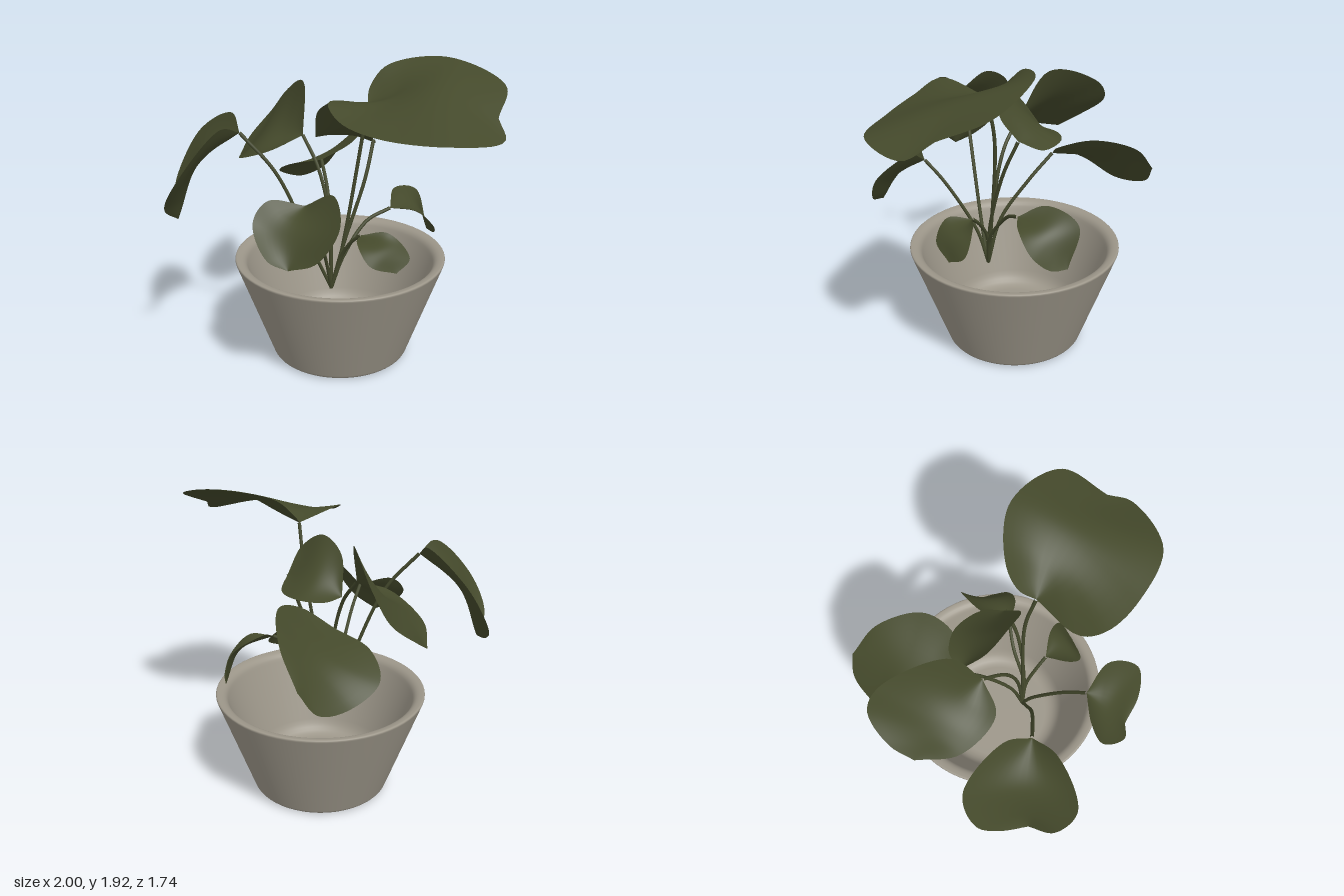
import * as THREE from 'three';

const leafMat = new THREE.MeshStandardMaterial({ color: 0x44492b, side: THREE.DoubleSide });
leafMat.name = 'leafGreen';
const stemMat = new THREE.MeshStandardMaterial({ color: 0x42472b });
stemMat.name = 'stemGreen';
const potMat = new THREE.MeshStandardMaterial({ color: 0x9c9689 });
potMat.name = 'potClay';

const at = (x, y, z) => new THREE.Vector3(x, y, z);
const crown = at(-0.015, 0.5, 0.17);

// Leaf blade: a smooth sheet stretched between two edge curves and a midrib
function leafGeometry(base, tip, fold, edgeA, edgeB) {
  const [left, rib, right] = [edgeA, [fold], edgeB].map(
    (points) => new THREE.CatmullRomCurve3([base, ...points, tip]),
  );
  const rows = 40, cols = 14;
  const g = new THREE.PlaneGeometry(1, 1, cols, rows);
  const pos = g.attributes.position;
  for (let i = 0; i <= rows; i++) {
    const u = i / rows;
    const l = left.getPointAt(u), r = right.getPointAt(u), m = rib.getPointAt(u);
    const slope = r.clone().sub(l).multiplyScalar(0.5);
    const bend = r.clone().add(l).multiplyScalar(0.5).sub(m);
    for (let j = 0; j <= cols; j++) {
      const v = (2 * j) / cols - 1;
      const p = m.clone().addScaledVector(slope, v).addScaledVector(bend, v * v);
      pos.setXYZ(i * (cols + 1) + j, p.x, p.y, p.z);
    }
  }
  g.computeVertexNormals();
  return g;
}

// One leaf with its stem, which rises from the crown along "bow" to the base of the blade
function makeLeaf(name, { base, tip, fold, bow, edgeA, edgeB }) {
  const leaf = new THREE.Group();
  leaf.name = name;
  const blade = new THREE.Mesh(leafGeometry(base, tip, fold, edgeA, edgeB), leafMat);
  blade.name = 'blade';
  const path = new THREE.CatmullRomCurve3([crown, ...bow, base]);
  const stem = new THREE.Mesh(new THREE.TubeGeometry(path, 32, 0.011, 8), stemMat);
  stem.name = 'stem';
  leaf.add(blade, stem);
  return leaf;
}

// Hollow tapered pot with a rounded foot and rim
function makePot() {
  const outline = new THREE.Path();
  outline.moveTo(0, 0);
  outline.lineTo(0.39, 0);
  outline.quadraticCurveTo(0.43, 0, 0.44, 0.03);
  outline.lineTo(0.661, 0.65);
  outline.quadraticCurveTo(0.667, 0.667, 0.65, 0.667);
  outline.quadraticCurveTo(0.595, 0.665, 0.583, 0.61);
  outline.lineTo(0.44, 0.2);
  outline.quadraticCurveTo(0.41, 0.105, 0.33, 0.105);
  outline.lineTo(0, 0.105);
  const pot = new THREE.Mesh(new THREE.LatheGeometry(outline.getPoints(6), 72), potMat);
  pot.name = 'pot';
  return pot;
}

export function createModel() {
  const model = new THREE.Group();
  model.name = 'pottedPlant';
  model.add(makePot());

  model.add(makeLeaf('largeTopLeaf', {
    base: at(0.2, 1.69, 0.15), tip: at(0.95, 1.7, 0.35), fold: at(0.6, 1.81, 0.26),
    bow: [at(0.04, 0.72, 0.15), at(0.15, 1.4, 0.11)],
    edgeA: [at(0.19, 1.76, 0.05), at(0.27, 1.87, -0.05), at(0.6, 1.92, -0.13), at(0.96, 1.82, 0.07)],
    edgeB: [at(0.04, 1.75, 0.43), at(0.14, 1.68, 0.57), at(0.38, 1.64, 0.69), at(0.75, 1.64, 0.74),
      at(1.0, 1.62, 0.5)],
  }));

  model.add(makeLeaf('rightSideLeaf', {
    base: at(-0.51, 1.52, 0.35), tip: at(-0.88, 0.99, 0.46), fold: at(-0.75, 1.34, 0.39),
    bow: [at(-0.09, 0.7, 0.21), at(-0.31, 1.27, 0.3)],
    edgeA: [at(-0.6, 1.6, 0.22), at(-0.88, 1.43, 0.08), at(-1.0, 1.15, 0.19), at(-0.96, 1.04, 0.32)],
    edgeB: [at(-0.57, 1.57, 0.5), at(-0.77, 1.3, 0.7), at(-0.89, 1.1, 0.61)],
  }));

  model.add(makeLeaf('frontLeaf', {
    base: at(-0.06, 1.19, 0.56), tip: at(-0.08, 0.915, 0.84), fold: at(-0.065, 1.1, 0.72),
    bow: [at(-0.03, 0.72, 0.24), at(-0.045, 1.05, 0.44)],
    edgeA: [at(-0.25, 1.23, 0.64), at(-0.31, 1.13, 0.73), at(-0.19, 0.97, 0.86)],
    edgeB: [at(0.12, 1.29, 0.63), at(0.2, 1.17, 0.81), at(0.09, 0.99, 0.87)],
  }));

  model.add(makeLeaf('backLeaf', {
    base: at(-0.18, 1.2, -0.23), tip: at(-0.22, 1.09, -0.87), fold: at(-0.21, 1.17, -0.53),
    bow: [at(-0.04, 0.8, 0.09), at(-0.1, 1.04, -0.08)],
    edgeA: [at(0, 1.31, -0.27), at(0.06, 1.38, -0.47), at(-0.06, 1.28, -0.74)],
    edgeB: [at(-0.42, 1.13, -0.29), at(-0.54, 1.02, -0.46), at(-0.44, 0.93, -0.66), at(-0.32, 0.96, -0.84)],
  }));

  model.add(makeLeaf('backRightLeaf', {
    base: at(-0.24, 1.42, -0.02), tip: at(-0.75, 1.18, -0.27), fold: at(-0.5, 1.39, -0.17),
    bow: [at(-0.035, 0.95, 0.13), at(-0.12, 1.25, 0.07)],
    edgeA: [at(-0.28, 1.7, -0.2), at(-0.5, 1.57, -0.52), at(-0.62, 1.42, -0.57), at(-0.73, 1.27, -0.42)],
    edgeB: [at(-0.4, 1.35, 0.11), at(-0.65, 1.24, -0.02)],
  }));

  model.add(makeLeaf('centreLeaf', {
    base: at(0.2, 1.42, -0.03), tip: at(-0.2, 1.37, -0.16), fold: at(-0.01, 1.47, -0.11),
    bow: [at(0.06, 0.8, 0.15), at(0.17, 1.2, 0.06)],
    edgeA: [at(0.16, 1.56, 0.08), at(0.01, 1.66, 0.06), at(-0.14, 1.58, -0.02)],
    edgeB: [at(0.18, 1.36, -0.17), at(0.02, 1.36, -0.28), at(-0.13, 1.36, -0.26)],
  }));

  model.add(makeLeaf('smallBackLeaf', {
    base: at(0.31, 0.99, -0.03), tip: at(0.5, 0.75, -0.33), fold: at(0.45, 0.95, -0.21),
    bow: [at(0.06, 0.72, 0.15), at(0.18, 0.92, 0.04)],
    edgeA: [at(0.3, 1.06, -0.2), at(0.42, 0.99, -0.39)],
    edgeB: [at(0.47, 0.98, -0.04), at(0.57, 0.86, -0.12), at(0.56, 0.77, -0.23)],
  }));

  model.add(makeLeaf('smallFrontLeaf', {
    base: at(0.19, 0.91, 0.25), tip: at(0.43, 0.74, 0.37), fold: at(0.34, 0.87, 0.35),
    bow: [at(0.05, 0.72, 0.17), at(0.12, 0.84, 0.21)],
    edgeA: [at(0.2, 0.92, 0.4), at(0.29, 0.81, 0.46)],
    edgeB: [at(0.35, 0.93, 0.23), at(0.49, 0.8, 0.27)],
  }));

  return model;
}
